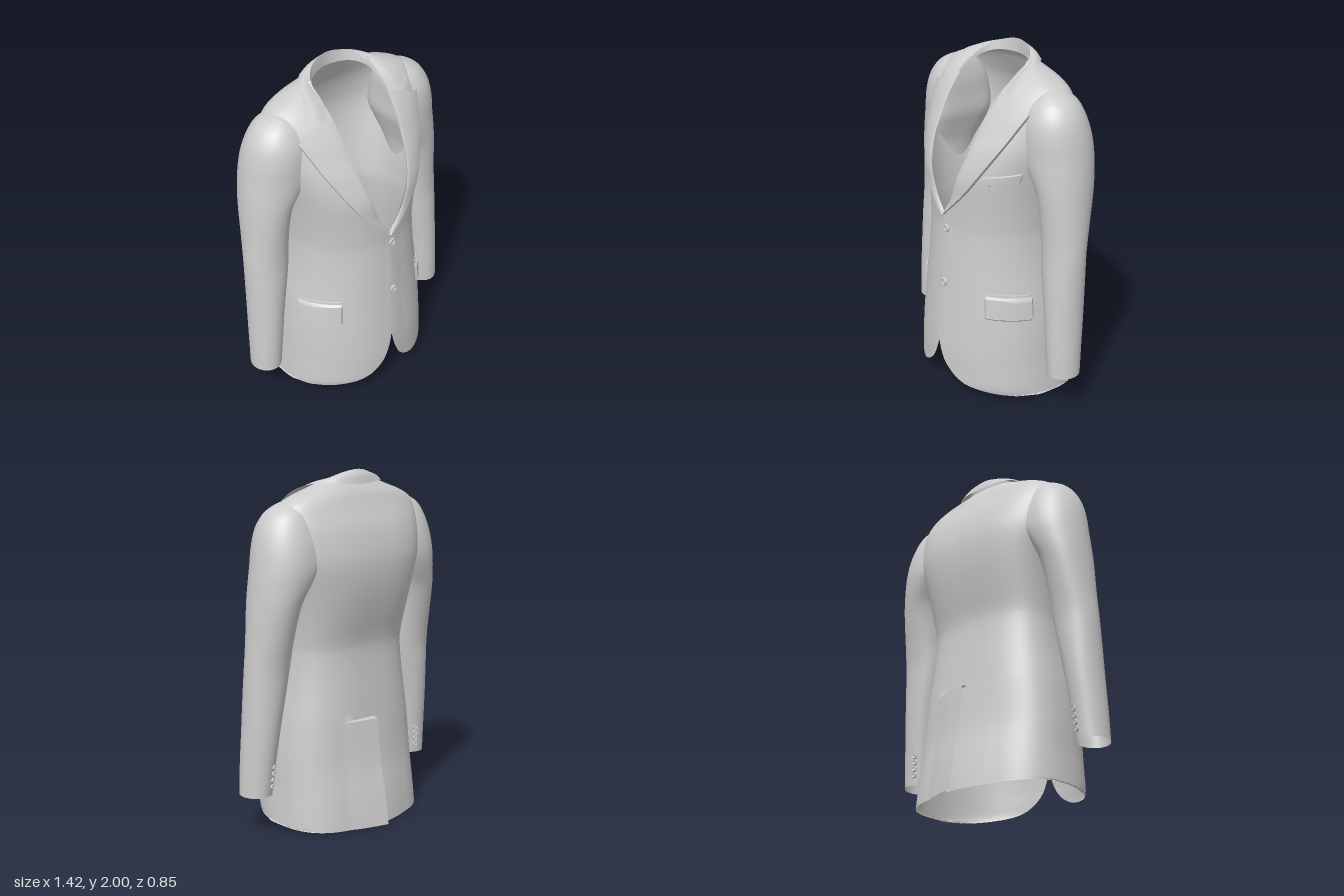
import * as THREE from 'three';
import { toCreasedNormals } from 'three/addons/utils/BufferGeometryUtils.js';

const cloth = new THREE.MeshStandardMaterial({ color: 0xcccccc, side: THREE.DoubleSide });
cloth.name = 'cloth';

// Body sections: y, half width, z of widest point, back z, front z, x of front edge
const BODY = [
  [0.02, 0.478, -0.02, -0.36, 0.38, 0.47],
  [0.05, 0.476, -0.02, -0.357, 0.41, 0.33],
  [0.08, 0.474, -0.02, -0.354, 0.42, 0.19],
  [0.14, 0.47, -0.02, -0.346, 0.42, 0.09],
  [0.22, 0.464, -0.02, -0.334, 0.42, 0.035],
  [0.36, 0.458, -0.02, -0.312, 0.412, -0.005],
  [0.60, 0.435, -0.02, -0.297, 0.392, -0.025],
  [0.80, 0.405, -0.02, -0.281, 0.378, -0.03],
  [1.00, 0.39, -0.02, -0.266, 0.364, -0.025],
  [1.08, 0.395, -0.025, -0.275, 0.365, -0.01],
  [1.20, 0.408, -0.03, -0.305, 0.37, 0.07],
  [1.35, 0.435, -0.04, -0.335, 0.373, 0.125],
  [1.50, 0.475, -0.05, -0.345, 0.325, 0.165],
  [1.60, 0.492, -0.05, -0.33, 0.27, 0.18],
  [1.70, 0.5, -0.05, -0.30, 0.21, 0.19],
  [1.78, 0.492, -0.055, -0.26, 0.15, 0.195],
  [1.83, 0.462, -0.06, -0.235, 0.10, 0.2],
  [1.87, 0.385, -0.065, -0.215, 0.06, 0.2],
  [1.90, 0.30, -0.065, -0.192, 0.02, 0.2],
  [1.925, 0.23, -0.065, -0.17, -0.02, 0.197],
  [1.94, 0.20, -0.065, -0.158, -0.04, 0.19],
];

// Sleeve sections: y, inner x, x of deepest point, outer x, back z, front z, inner roundness
const SLEEVE = [
  [0.23, 0.535, 0.622, 0.71, -0.09, 0.105, 1],
  [0.40, 0.515, 0.61, 0.705, -0.105, 0.107, 1],
  [0.60, 0.49, 0.594, 0.697, -0.125, 0.105, 1],
  [0.80, 0.455, 0.574, 0.693, -0.14, 0.10, 1],
  [0.95, 0.43, 0.56, 0.69, -0.15, 0.092, 1],
  [1.10, 0.42, 0.55, 0.68, -0.178, 0.095, 1],
  [1.30, 0.40, 0.525, 0.668, -0.222, 0.11, 0.9],
  [1.42, 0.37, 0.475, 0.658, -0.25, 0.125, 0.65],
  [1.50, 0.35, 0.45, 0.648, -0.26, 0.13, 0.5],
  [1.60, 0.35, 0.44, 0.633, -0.25, 0.13, 0.45],
  [1.70, 0.35, 0.43, 0.605, -0.222, 0.115, 0.45],
  [1.775, 0.36, 0.43, 0.56, -0.185, 0.075, 0.5],
  [1.81, 0.37, 0.425, 0.515, -0.15, 0.04, 0.6],
  [1.835, 0.38, 0.42, 0.46, -0.10, 0, 0.8],
  [1.845, 0.40, 0.41, 0.42, -0.06, -0.04, 1],
];

// Smooth interpolation of a section table at height y
function sample(table, y) {
  const last = table.length - 1;
  let i = 0;
  while (i < last - 1 && y > table[i + 1][0]) i++;
  const p = table[i], q = table[i + 1], h = q[0] - p[0], t = (y - p[0]) / h;
  const slope = (j, k) => {
    const a = table[Math.max(j - 1, 0)], b = table[Math.min(j + 1, last)];
    return (b[k] - a[k]) / (b[0] - a[0]);
  };
  return p.map((v, k) => k === 0 ? y
    : v * (1 + 2 * t) * (1 - t) ** 2 + q[k] * t * t * (3 - 2 * t)
    + h * (slope(i, k) * t * (1 - t) ** 2 + slope(i + 1, k) * t * t * (t - 1)));
}

// Table heights with extra steps between them
const steps = (table, n) => table.flatMap((r, i) => i === table.length - 1 ? [r[0]]
  : Array.from({ length: n }, (_, k) => r[0] + (table[i + 1][0] - r[0]) * k / n));

// Grid surface from a function of u and v returning [x, y, z]
function surface(name, nu, nv, fn) {
  const pos = [], idx = [];
  for (let j = 0; j <= nv; j++) for (let i = 0; i <= nu; i++) pos.push(...fn(i / nu, j / nv, j));
  for (let j = 0; j < nv; j++) for (let i = 0; i < nu; i++) {
    const a = j * (nu + 1) + i, b = a + 1, c = a + nu + 1, d = c + 1;
    idx.push(a, c, b, b, c, d);
  }
  const g = new THREE.BufferGeometry();
  g.setAttribute('position', new THREE.Float32BufferAttribute(pos, 3));
  g.setIndex(idx);
  const mesh = new THREE.Mesh(toCreasedNormals(g, 0.8), cloth);
  mesh.name = name;
  return mesh;
}

const FRONT = 0.95, BACK = 0.75;
const power = (v, e) => Math.sign(v) * Math.abs(v) ** e;

// Depth of the front cloth at (x, y)
function frontZ(x, y) {
  const [, a, c, , f] = sample(BODY, y);
  const k = Math.min(Math.abs(x) / a, 1);
  return c + (f - c) * (1 - k ** (2 / FRONT)) ** (FRONT / 2);
}

// Half of the body, from centre back to front edge, with vent and front overlap
function bodyHalf(name, s) {
  const ys = [...steps(BODY, 3), 0.612, 0.618].sort((a, b) => a - b);
  return surface(name, 56, ys.length - 1, (u, v, j) => {
    const [y, a, c, b, f, edge] = sample(BODY, ys[j]);
    const vent = y < 0.615;
    const start = vent && s < 0 ? -0.07 : 0;
    const end = Math.PI - Math.asin(power(Math.max(-1, Math.min(edge / a, 1)), 1 / FRONT));
    const th = start + (end - start) * u, co = Math.cos(th), isBack = co > 0;
    const x = a * power(Math.sin(th), isBack ? BACK : FRONT);
    let z = isBack ? c + (b - c) * co ** BACK : c + (f - c) * Math.abs(co) ** FRONT;
    if (isBack && vent)
      z -= ((s > 0 ? 0.035 : 0) + 0.045 * (0.62 - y)) * Math.max(0, 1 - Math.abs(x) / 0.22);
    if (!isBack && s > 0) z += 0.012 * Math.max(0, 1 - Math.abs(x) / 0.1);
    const drop = isBack ? 0.02 * co * Math.max(0, 1 - y / 0.2) : 0;
    return [s * x, y - drop, z];
  });
}

// Sleeve whose head widens inwards to run into the shoulder
function sleeve(name, s) {
  const ys = steps(SLEEVE, 4);
  return surface(name, 48, ys.length - 1, (u, v, j) => {
    const [y, x0, xm, x1, z0, z1, round] = sample(SLEEVE, ys[j]);
    const co = Math.cos(u * Math.PI * 2), si = Math.sin(u * Math.PI * 2);
    const e = co < 0 ? round : 1;
    return [s * (xm + (co < 0 ? xm - x0 : x1 - xm) * power(co, e)), y,
      (z0 + z1) / 2 + (z1 - z0) / 2 * power(si, e)];
  });
}

// Folded lapel lying on the front, from roll line to outer edge
function lapel(name, s) {
  const outer = new THREE.CatmullRomCurve3([[0, 1.08], [0.19, 1.28], [0.32, 1.5], [0.418, 1.725]]
    .map(p => new THREE.Vector3(p[0], p[1], 0)));
  return surface(name, 20, 40, (u, v) => {
    const yi = 1.08 + 0.735 * v, xi = sample(BODY, yi)[5], o = outer.getPoint(v);
    const w = Math.min(u / 0.95, 1);
    const x = xi + (o.x - xi) * w, y = yi + (o.y - yi) * w;
    const lift = u === 1 ? -0.003 : 0.004 + 0.016 * Math.sqrt(w);
    return [s * x, y, frontZ(x, y) + lift + (s > 0 ? 0.006 : 0)];
  });
}

// Mirrored curve through points given from the front end to centre back
function neckCurve(points) {
  const half = points.map(p => new THREE.Vector3(...p));
  const other = half.slice(0, -1).reverse().map(p => new THREE.Vector3(-p.x, p.y, p.z));
  return new THREE.CatmullRomCurve3([...half, ...other]);
}
const across = (name, curves) => surface(name, 64, 10, (u, v) =>
  new THREE.CatmullRomCurve3(curves.map(c => c.getPoint(u))).getPoint(v).toArray());

// Padded patch on the front: phi runs from the side (0) to centre front (pi / 2)
function patch(name, s, phi0, phi1, top0, top1, height, lift) {
  return surface(name, 20, 10, (u, v) => {
    const phi = phi0 + (phi1 - phi0) * u, y = top0 + (top1 - top0) * u - height * v;
    const [, a, c, , f] = sample(BODY, y);
    const rim = u === 0 || u === 1 || v === 0 || v === 1;
    const off = rim ? -0.004 : lift;
    return [s * (a + off) * Math.cos(phi) ** FRONT, y, c + (f - c + off) * Math.sin(phi) ** FRONT];
  });
}

function button(name, r, x, y, z, turn = 0) {
  const profile = [[0, 0.3], [0.5, 0.3], [0.7, 0.6], [0.9, 0.55], [1, 0.35], [1, -0.2]]
    .map(p => new THREE.Vector2(p[0] * r, p[1] * r));
  const mesh = new THREE.Mesh(new THREE.LatheGeometry(profile, 20).rotateX(Math.PI / 2), cloth);
  mesh.position.set(x, y, z);
  mesh.rotation.y = turn;
  mesh.name = name;
  return mesh;
}

export function createModel() {
  const jacket = new THREE.Group();
  jacket.name = 'jacket';

  for (const [side, s] of [['left', 1], ['right', -1]]) {
    jacket.add(bodyHalf(side + 'Body', s), sleeve(side + 'Sleeve', s), lapel(side + 'Lapel', s));
    // Hip pocket with its welt
    jacket.add(patch(side + 'PocketFlap', s, 0.9, 0.2, 0.665, 0.645, 0.145, 0.013));
    jacket.add(patch(side + 'PocketWelt', s, 0.89, 0.21, 0.68, 0.66, 0.016, 0.006));
    // Cuff buttons on the back of the sleeve
    for (let i = 0; i < 4; i++) {
      const y = 0.285 + i * 0.037, [, , xm, x1, z0, z1] = sample(SLEEVE, y);
      const t = -Math.PI / 2 - 0.35;
      jacket.add(button(side + 'CuffButton' + (i + 1), 0.015,
        s * (xm + (x1 - xm) * Math.cos(t)), y,
        (z0 + z1) / 2 + (z1 - z0) / 2 * Math.sin(t), Math.PI + s * 0.35));
    }
  }
  jacket.add(patch('breastPocket', 1, 0.975, 0.43, 1.375, 1.405, 0.06, 0.008));

  // Collar: fold line, crown and outer edge, with the stand inside
  const fold = neckCurve([[0.2, 1.815, 0.115], [0.205, 1.87, 0.05], [0.19, 1.93, -0.06],
    [0.125, 1.975, -0.13], [0, 2, -0.16]]);
  const crown = neckCurve([[0.285, 1.787, 0.14], [0.262, 1.867, 0.066], [0.23, 1.937, -0.06],
    [0.155, 1.962, -0.152], [0, 1.972, -0.187]]);
  const edge = neckCurve([[0.36, 1.812, 0.095], [0.32, 1.88, 0.035], [0.27, 1.923, -0.055],
    [0.18, 1.932, -0.165], [0, 1.92, -0.205]]);
  const base = neckCurve([[0.2, 1.81, 0.105], [0.2, 1.86, 0.035], [0.185, 1.9, -0.06],
    [0.12, 1.92, -0.12], [0, 1.92, -0.158]]);
  jacket.add(across('collar', [fold, crown, edge]), across('collarStand', [fold, base]));

  for (const [name, y] of [['upperButton', 1.01], ['lowerButton', 0.68]])
    jacket.add(button(name, 0.024, 0.022, y, frontZ(0.022, y) + 0.006));

  return jacket;
}
